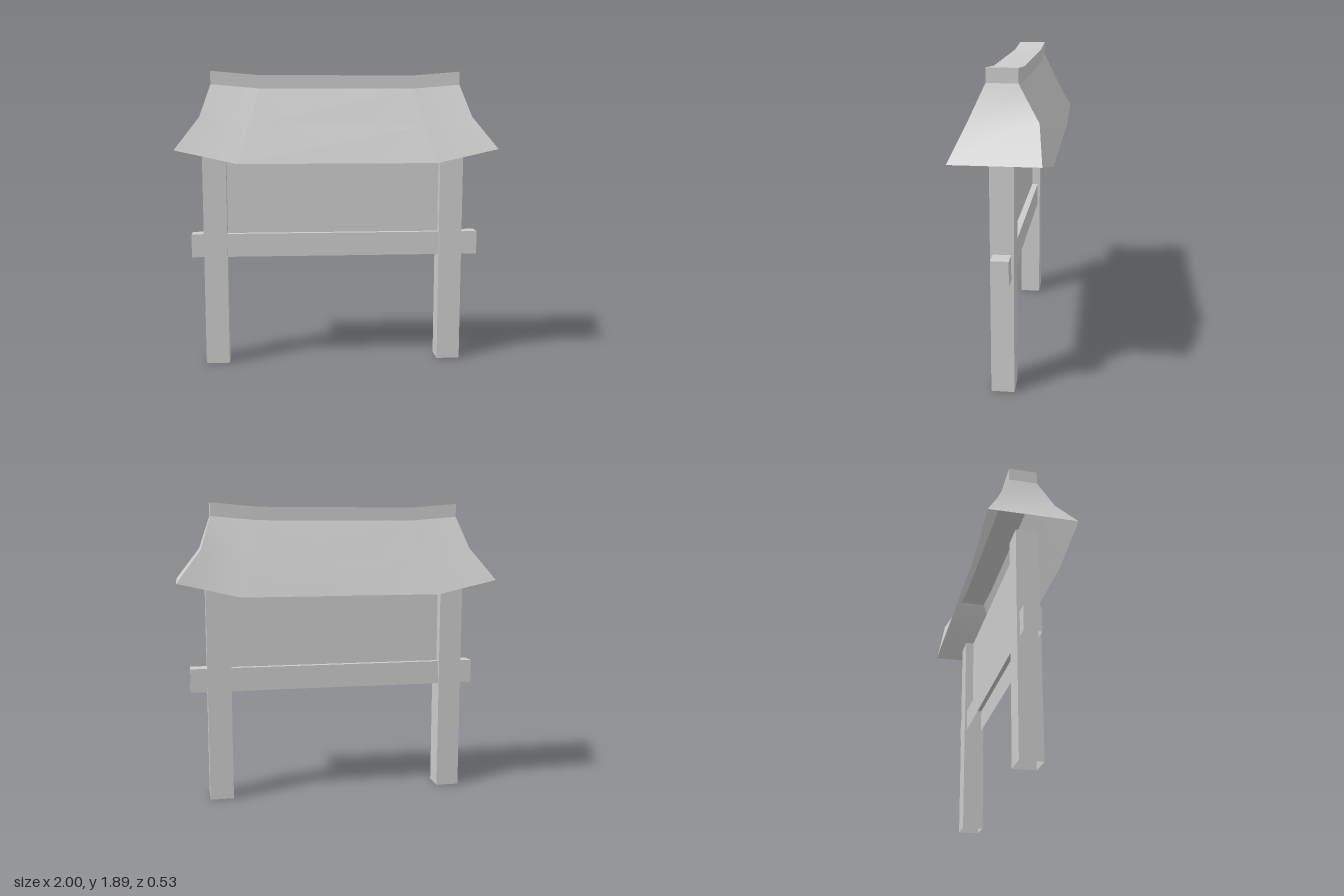
import * as THREE from 'three';

export function createModel() {
  const model = new THREE.Group();
  const grey = new THREE.MeshStandardMaterial({ color: 0xcccccc, side: THREE.DoubleSide });
  grey.name = 'plain grey';

  function add(name, geometry) {
    const mesh = new THREE.Mesh(geometry, grey);
    mesh.name = name;
    model.add(mesh);
    return mesh;
  }

  // Box given by its limits, with no bottom face
  function openBox(name, x0, x1, y0, y1, halfDepth) {
    const g = new THREE.BoxGeometry(x1 - x0, y1 - y0, halfDepth * 2);
    const index = Array.from(g.index.array);
    index.splice(18, 6);
    g.setIndex(index);
    g.clearGroups();
    g.translate((x0 + x1) / 2, (y0 + y1) / 2, 0);
    return add(name, g);
  }

  // Smooth sheet through rows of points: rows run downwards, columns run rightwards seen from outside
  function sheet(name, rows) {
    const cols = rows[0].length;
    const index = [];
    for (let r = 0; r < rows.length - 1; r++) {
      for (let c = 0; c < cols - 1; c++) {
        const a = r * cols + c, b = a + 1, d = a + cols, e = d + 1;
        if (c < cols / 2 - 1) index.push(a, d, e, a, e, b);
        else index.push(a, d, b, b, d, e);
      }
    }
    const g = new THREE.BufferGeometry();
    g.setAttribute('position', new THREE.Float32BufferAttribute(rows.flat(2), 3));
    g.setIndex(index);
    g.computeVertexNormals();
    return add(name, g);
  }

  // Posts, cross beam and wall panel
  openBox('rightPost', 0.675, 0.825, 0, 1.4, 0.068);
  openBox('leftPost', -0.85, -0.7, 0, 1.4, 0.068);
  openBox('crossBeam', -0.93, 0.93, 0.705, 0.855, 0.052);
  openBox('wallPanel', -0.7, 0.675, 0.85, 1.4, 0.012);

  // Roof levels: hip corner, then the lower point nearer the middle
  const levels = [
    { end: [0.785, 1.805, 0.088], mid: [0.49, 1.78, 0.088] },
    { end: [0.85, 1.605, 0.178], mid: [0.55, 1.55, 0.178] },
    { end: [1, 1.405, 0.267], mid: [0.62, 1.32, 0.267] },
  ];
  const at = ([x, y, z], sx, sz) => [x * sx, y, z * sz];

  // The hip at the back of the +x end is pulled out of line
  const hipZ = [-0.088, -0.208, -0.238];
  const corner = (i, sx, sz) => {
    const p = at(levels[i].end, sx, sz);
    if (sx > 0 && sz < 0) p[2] = hipZ[i];
    return p;
  };

  for (const s of [1, -1]) {
    sheet(s > 0 ? 'frontRoofSlope' : 'backRoofSlope', levels.map((l, i) =>
      [corner(i, -s, s), at(l.mid, -s, s), at(l.mid, s, s), corner(i, s, s)]));
    sheet(s > 0 ? 'rightRoofEnd' : 'leftRoofEnd', levels.map((l, i) =>
      [corner(i, s, s), corner(i, s, -s)]));
  }

  // Ridge cap with upswept ends
  const ridge = new THREE.Shape([
    [-0.785, 1.805], [-0.49, 1.78], [0.49, 1.78], [0.785, 1.805],
    [0.785, 1.887], [0.49, 1.862], [-0.49, 1.862], [-0.785, 1.887],
  ].map(([x, y]) => new THREE.Vector2(x, y)));
  const cap = new THREE.ExtrudeGeometry(ridge, { depth: 0.176, bevelEnabled: false });
  cap.translate(0, 0, -0.088);
  add('ridgeCap', cap);

  return model;
}
